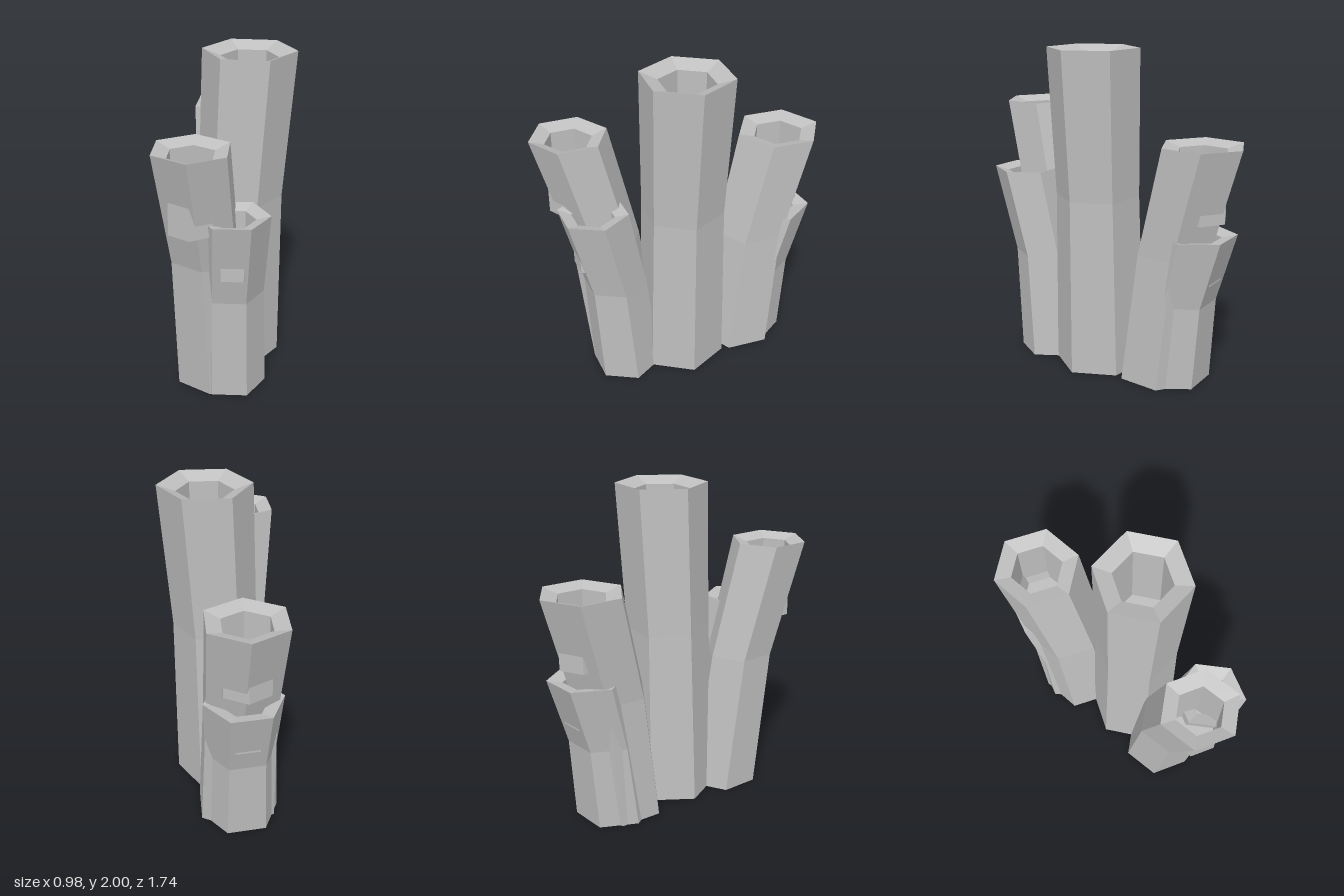
import * as THREE from 'three';

const SIDES = 6;

// Loft through rings [x, y, z, radius]; a zero radius closes the end with a fan.
function loft(rings, angle) {
  const corner = ([x, y, z, r], i) => {
    const a = angle + (i % SIDES) * Math.PI * 2 / SIDES;
    return [x + r * Math.cos(a), y, z + r * Math.sin(a)];
  };
  const pos = [];
  for (let k = 0; k < rings.length - 1; k++) {
    const lo = rings[k], up = rings[k + 1];
    for (let i = 0; i < SIDES; i++) {
      if (lo[3] > 0) pos.push(...corner(lo, i), ...corner(up, i), ...corner(lo, i + 1));
      if (up[3] > 0) pos.push(...corner(lo, i + 1), ...corner(up, i), ...corner(up, i + 1));
    }
  }
  const geo = new THREE.BufferGeometry();
  geo.setAttribute('position', new THREE.Float32BufferAttribute(pos, 3));
  geo.computeVertexNormals();
  return geo;
}

// Leaning hexagonal tube: narrower at the bend, sloped rim, upright hollow from the mouth.
function tubeGeometry({ height: h, radius: r, degrees, base, bend, top }) {
  const hole = r * 0.61;
  return loft([
    [base[0], 0, base[1], 0],
    [base[0], 0, base[1], r],
    [bend[0], h * 0.55, bend[1], r * 0.92],
    [top[0], h, top[1], r],
    [top[0], h * 0.98, top[1], hole],
    [top[0], h * 0.7, top[1], hole],
    [top[0], h * 0.7, top[1], 0],
  ], THREE.MathUtils.degToRad(degrees));
}

export function createModel() {
  const group = new THREE.Group();
  group.name = 'tubeCluster';
  const grey = new THREE.MeshStandardMaterial({ color: 0xbfbfbf, flatShading: true, side: THREE.DoubleSide });
  grey.name = 'stone grey';

  // Centres are [x, z] at the foot, the bend and the mouth.
  const tubes = [
    { name: 'centreTube', height: 2, radius: 0.28, degrees: -17.5, base: [0.07, -0.01], bend: [0.095, -0.02], top: [0.14, -0.045] },
    { name: 'frontTube', height: 1.615, radius: 0.235, degrees: 9.5, base: [0.083, 0.345], bend: [0.09, 0.455], top: [0.1, 0.643] },
    { name: 'frontLeftTube', height: 1.205, radius: 0.214, degrees: -22, base: [0.205, 0.35], bend: [0.225, 0.4], top: [0.29, 0.51] },
    { name: 'backTube', height: 1.47, radius: 0.262, degrees: 12, base: [-0.13, -0.39], bend: [-0.166, -0.468], top: [-0.238, -0.624] },
    { name: 'shortBackTube', height: 0.94, radius: 0.24, degrees: -25, base: [-0.165, -0.448], bend: [-0.182, -0.502], top: [-0.222, -0.605] },
  ];
  for (const tube of tubes) {
    const mesh = new THREE.Mesh(tubeGeometry(tube), grey);
    mesh.name = tube.name;
    group.add(mesh);
  }
  return group;
}
